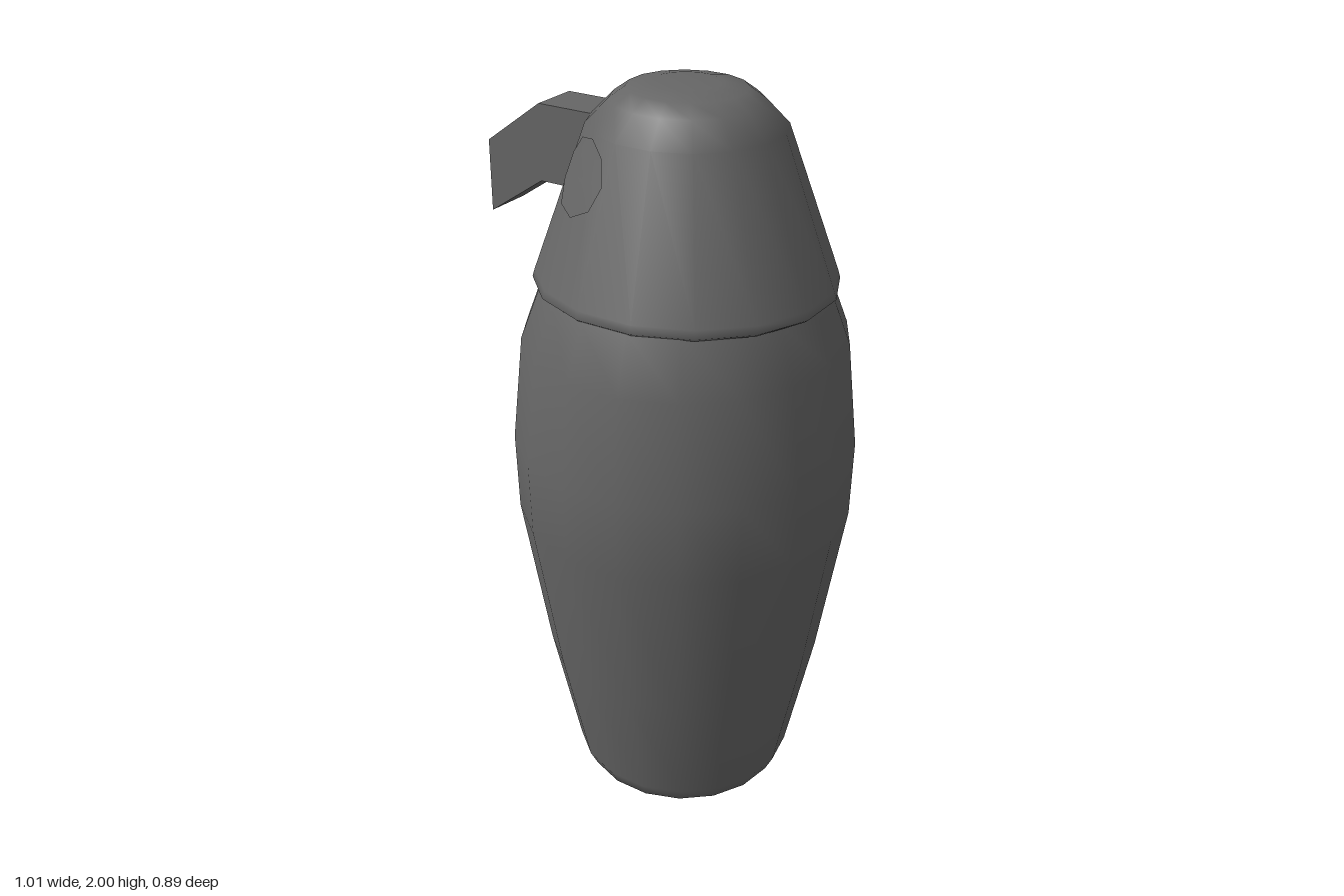
import * as THREE from 'three';

const AXIS_X = 0.055; // the body sits off centre because of the beak
const HEAD_DEPTH = 0.95; // the head is slightly flattened front to back

function lathe(name, profile, sides, phiStart, material) {
  const points = profile.map(([r, y]) => new THREE.Vector2(r, y));
  const mesh = new THREE.Mesh(new THREE.LatheGeometry(points, sides, phiStart), material);
  mesh.name = name;
  mesh.position.x = AXIS_X;
  return mesh;
}

// Nine-sided disc wrapped onto the cone of the head
function eyeGeometry(side) {
  const geometry = new THREE.RingGeometry(0, 0.098, 9, 4);
  const position = geometry.attributes.position;
  for (let i = 0; i < position.count; i++) {
    const y = 1.803 + position.getY(i) * 0.945;
    const radius = 0.391 - (y - 1.525) * 0.365;
    const angle = 1.0 + position.getX(i) / 0.28;
    position.setXYZ(i,
      AXIS_X - radius * Math.cos(angle), y, side * HEAD_DEPTH * radius * Math.sin(angle));
  }
  // Keep the faces outward on the mirrored eye
  if (side < 0) geometry.setIndex(Array.from(geometry.index.array).reverse());
  geometry.computeVertexNormals();
  return geometry;
}

export function createModel() {
  const group = new THREE.Group();
  group.name = 'bird';
  const smooth = new THREE.MeshStandardMaterial({ color: 0x666666, side: THREE.DoubleSide });
  const flat = new THREE.MeshStandardMaterial({ color: 0x666666, flatShading: true });

  // Barrel-shaped body with a rounded bottom edge, its open top inside the head
  group.add(lathe('body', [
    [0, 0], [0.2, 0.003], [0.245, 0.013], [0.28, 0.035], [0.302, 0.08],
    [0.375, 0.43], [0.445, 0.87], [0.45, 1.08], [0.42, 1.36], [0.367, 1.5], [0.355, 1.53],
  ], 18, Math.PI / 2, smooth));

  // Domed head overlapping the top of the body
  const head = lathe('head', [
    [0, 1.497], [0.382, 1.497], [0.392, 1.505], [0.386, 1.525], [0.249, 1.9],
    [0.19, 1.96], [0.15, 1.988], [0.085, 2], [0, 2],
  ], 16, Math.PI / 16, smooth);
  head.scale.z = HEAD_DEPTH;
  group.add(head);

  // Hooked beak pointing to the side
  const outline = new THREE.Shape([
    [-0.18, 1.9], [-0.34, 1.9], [-0.505, 1.78], [-0.505, 1.59], [-0.34, 1.7], [-0.18, 1.7],
  ].map(([x, y]) => new THREE.Vector2(x, y)));
  const beakGeometry = new THREE.ExtrudeGeometry(outline, { depth: 0.13, bevelEnabled: false });
  beakGeometry.translate(0, 0, -0.065);
  const beak = new THREE.Mesh(beakGeometry, flat);
  beak.name = 'beak';
  group.add(beak);

  // Thin eyes lying on both slopes of the head
  for (const side of [1, -1]) {
    const eye = new THREE.Mesh(eyeGeometry(side), smooth);
    eye.name = side > 0 ? 'frontEye' : 'backEye';
    group.add(eye);
  }

  return group;
}
